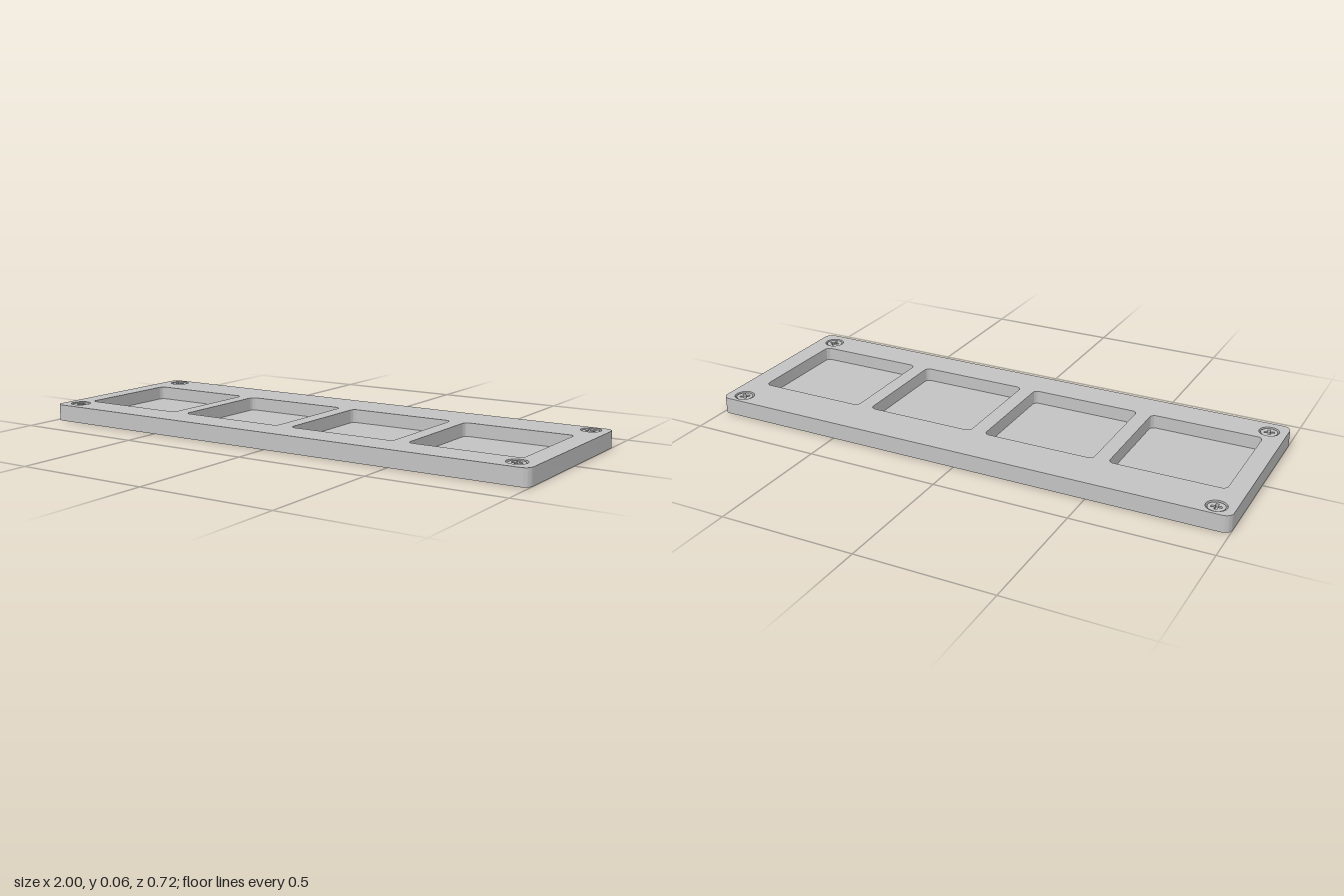
import * as THREE from 'three';
import { toCreasedNormals } from 'three/addons/utils/BufferGeometryUtils.js';

const HEIGHT = 0.062, FACE_BOTTOM = 0.047, FLOOR_TOP = 0.012, FLOOR_BOTTOM = 0.005;
const POCKET = 0.42, POCKET_Z = 0.022;
const POCKET_X = [-0.72, -0.243, 0.235, 0.712];
const SCREWS = [[-0.935, -0.31, 0.1], [0.933, -0.31, 0.75], [0.928, 0.292, 0.1], [-0.935, 0.292, 0.3]];

// Rounded rectangle centred on (cx, cz), drawn in the ground plane
function roundedRect(target, cx, cz, w, d, r) {
  const x = w / 2 - r, y = d / 2 - r, cy = -cz;
  target.absarc(cx + x, cy + y, r, 0, Math.PI / 2, false);
  target.absarc(cx - x, cy + y, r, Math.PI / 2, Math.PI, false);
  target.absarc(cx - x, cy - y, r, Math.PI, Math.PI * 1.5, false);
  target.absarc(cx + x, cy - y, r, Math.PI * 1.5, Math.PI * 2, false);
  target.closePath();
  return target;
}
const rectShape = (...a) => roundedRect(new THREE.Shape(), ...a);
const rectHole = (...a) => roundedRect(new THREE.Path(), ...a);

// Plan shape raised from y0 to y1, with smooth rounded corners
function slab(shape, y0, y1) {
  const g = new THREE.ExtrudeGeometry(shape, { depth: y1 - y0, bevelEnabled: false, curveSegments: 10 });
  g.rotateX(-Math.PI / 2).translate(0, y0, 0);
  return toCreasedNormals(g, 0.6);
}

// Plus-shaped slot for the screw heads
function crossPath(arm, half) {
  const p = new THREE.Path();
  for (let i = 0; i < 4; i++) {
    const c = Math.cos(i * Math.PI / 2), s = Math.sin(i * Math.PI / 2);
    for (const [x, y] of [[arm, -half], [arm, half], [half, half]]) {
      const px = x * c - y * s, py = x * s + y * c;
      if (i === 0 && x === arm && y < 0) p.moveTo(px, py);
      else p.lineTo(px, py);
    }
  }
  p.closePath();
  return p;
}

export function createModel() {
  const group = new THREE.Group();
  const grey = new THREE.MeshStandardMaterial({ color: 0xc2c2c2 });
  grey.name = 'light grey';
  const add = (name, geometry, parent = group) => {
    const mesh = new THREE.Mesh(geometry, grey);
    mesh.name = name;
    parent.add(mesh);
    return mesh;
  };

  // Face plate with four windows and the screw holes
  const face = rectShape(0, 0, 2, 0.72, 0.03);
  POCKET_X.forEach(x => face.holes.push(rectHole(x, POCKET_Z, POCKET, POCKET, 0.02)));
  SCREWS.forEach(([x, z]) => face.holes.push(new THREE.Path().absarc(x, -z, 0.037, 0, Math.PI * 2)));
  add('facePlate', slab(face, FACE_BOTTOM, HEIGHT));

  // Thin skirt around the hollow underside
  const rim = rectShape(0, 0, 2, 0.72, 0.03);
  rim.holes.push(rectHole(0, 0, 1.97, 0.69, 0.018));
  add('rim', slab(rim, 0, FACE_BOTTOM));

  // Floor frame under all the pockets
  const floor = rectShape(0, POCKET_Z, 1.91, 0.47, 0.01);
  POCKET_X.forEach(x => floor.holes.push(rectHole(x, POCKET_Z, POCKET, POCKET, 0.02)));
  add('floorFrame', slab(floor, FLOOR_BOTTOM, FLOOR_TOP));

  // Pocket walls and floor panels
  POCKET_X.forEach((x, i) => {
    const wall = rectShape(x, POCKET_Z, POCKET + 0.026, POCKET + 0.026, 0.03);
    wall.holes.push(rectHole(x, POCKET_Z, POCKET, POCKET, 0.02));
    add(`pocketWall${i + 1}`, slab(wall, FLOOR_TOP, FACE_BOTTOM));
    add(`pocketFloor${i + 1}`, slab(rectShape(x, POCKET_Z, POCKET, POCKET, 0.02), 0.007, FLOOR_TOP));
  });

  // Sunken screws with cross slots
  SCREWS.forEach(([x, z, turn], i) => {
    const screw = new THREE.Group();
    screw.name = `screw${i + 1}`;
    screw.position.set(x, 0, z);
    screw.rotation.y = turn;
    const head = new THREE.Shape().absarc(0, 0, 0.031, 0, Math.PI * 2);
    head.holes.push(crossPath(0.019, 0.005));
    add('screwHead', slab(head, 0.046, 0.059), screw);
    const seat = new THREE.CylinderGeometry(0.039, 0.039, 0.006, 28);
    add('screwSeat', seat, screw).position.y = 0.044;
    const shaft = new THREE.CylinderGeometry(0.016, 0.016, 0.027, 20);
    add('screwShaft', shaft, screw).position.y = 0.0285;
    group.add(screw);
  });

  return group;
}
